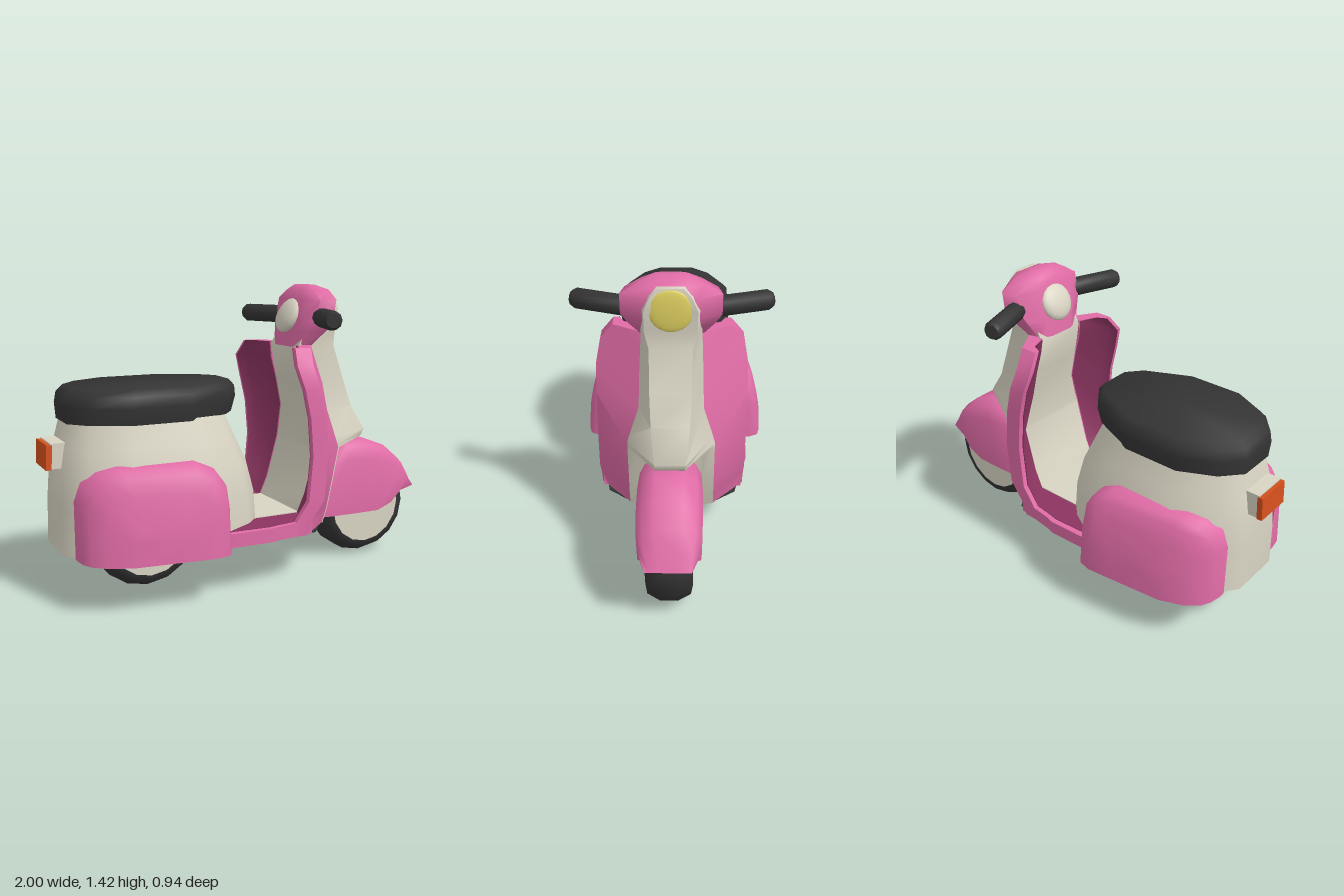
import * as THREE from 'three';
import { toCreasedNormals } from 'three/addons/utils/BufferGeometryUtils.js';

const paint = (name, color) => new THREE.MeshStandardMaterial({ name, color, side: THREE.DoubleSide });

// Skin a list of rings (arrays of [x, y, z]); closed lofts get end caps and outward winding.
function loft(rings, closed = true, crease = 1.1) {
  const n = rings[0].length, pos = rings.flat(2), idx = [];
  for (let r = 0; r < rings.length - 1; r++) {
    for (let i = 0; i < (closed ? n : n - 1); i++) {
      const a = r * n + i, b = r * n + (i + 1) % n;
      idx.push(a, b, b + n, a, b + n, a + n);
    }
  }
  if (closed) {
    [0, rings.length - 1].forEach((r) => {
      const c = pos.length / 3;
      for (let k = 0; k < 3; k++) pos.push(rings[r].reduce((s, p) => s + p[k], 0) / n);
      for (let i = 0; i < n; i++) {
        const a = r * n + i, b = r * n + (i + 1) % n;
        if (r === 0) idx.push(c, b, a); else idx.push(c, a, b);
      }
    });
  }
  const v = (i) => new THREE.Vector3().fromArray(pos, i * 3);
  let volume = 0;
  for (let i = 0; i < idx.length; i += 3) volume += v(idx[i]).dot(v(idx[i + 1]).cross(v(idx[i + 2])));
  if (volume < 0) idx.reverse();
  const g = new THREE.BufferGeometry();
  g.setAttribute('position', new THREE.Float32BufferAttribute(pos, 3));
  g.setIndex(idx);
  return toCreasedNormals(g, crease);
}

// Mirror a half outline of [x, z] across z = 0 into a ring at height y.
const mirrorRing = (y, half) => [
  ...half.map(([x, z]) => [x, y, z]),
  ...half.slice().reverse().map(([x, z]) => [x, y, -z]),
];

// Ring from [fraction of length, fraction of half width] pairs.
const planRing = (plan, [y, x0, x1, hw]) => mirrorRing(y, plan.map(([t, w]) => [x0 + t * (x1 - x0), w * hw]));

// Lathe from [radius, height] pairs.
const turned = (profile, sides) => new THREE.LatheGeometry(profile.map(([r, h]) => new THREE.Vector2(r, h)), sides);

export function createModel() {
  const pink = paint('pink', 0xe06ca6);
  const darkPink = paint('darkPink', 0x8c3560);
  const cream = paint('cream', 0xd9d4c3);
  const black = paint('black', 0x343434);
  const yellow = paint('yellow', 0xe2d362);
  const orange = paint('orange', 0xd6501c);
  const model = new THREE.Group();
  model.name = 'scooter';
  const add = (name, geo, mat, x = 0, y = 0, z = 0) => {
    const m = new THREE.Mesh(geo, mat);
    m.name = name;
    m.position.set(x, y, z);
    model.add(m);
    return m;
  };

  // Wheels
  const tyre = turned([[0.2, -0.105], [0.235, -0.097], [0.265, -0.04], [0.265, 0.04], [0.235, 0.097], [0.2, 0.105]], 16)
    .rotateX(Math.PI / 2);
  const hub = new THREE.CylinderGeometry(0.205, 0.205, 0.2, 16).rotateX(Math.PI / 2);
  [['rear', -0.52], ['front', 0.69]].forEach(([name, x]) => {
    add(name + 'Tyre', tyre, black, x, 0.267);
    add(name + 'Hub', hub, cream, x, 0.267);
  });

  // Rear body
  const bodyPlan = [[0, 0.36], [0.1, 0.7], [0.3, 1], [0.74, 1], [0.93, 0.72], [1, 0.54]];
  add('rearBody', loft([
    [0.236, -0.95, -0.01, 0.36], [0.45, -0.945, -0.025, 0.355], [0.6, -0.935, -0.06, 0.33],
    [0.72, -0.915, -0.11, 0.29], [0.84, -0.885, -0.16, 0.25],
  ].map((l) => planRing(bodyPlan, l))), cream);

  // Seat
  const seatPlan = [[0, 0.35], [0.1, 0.7], [0.3, 1], [0.64, 1], [0.92, 0.6], [1, 0.3]];
  add('seat', loft([
    [0.825, -0.9, -0.09, 0.265], [0.9, -0.905, -0.07, 0.28], [0.95, -0.895, -0.075, 0.278], [0.98, -0.865, -0.1, 0.25],
  ].map((l) => planRing(seatPlan, l))), black);

  // Tail light
  add('tailLightBracket', new THREE.BoxGeometry(0.11, 0.115, 0.18), cream, -0.92, 0.685);
  const lens = add('tailLightLens', new THREE.BoxGeometry(0.026, 0.112, 0.185), orange, -0.984, 0.68);
  lens.rotation.z = -0.06;

  // Bulging side panels, straight along the bottom edge
  const panelOutline = [[-0.91, 0.236], [-0.91, 0.5], [-0.88, 0.58], [-0.82, 0.63], [-0.74, 0.655],
    [-0.39, 0.655], [-0.31, 0.62], [-0.255, 0.55], [-0.24, 0.45], [-0.24, 0.236]];
  const bulge = [[-0.92, 0.25], [-0.9, 0.3], [-0.85, 0.37], [-0.7, 0.43], [-0.33, 0.47], [-0.27, 0.455], [-0.23, 0.4]];
  const bulgeAt = (x) => {
    const i = Math.max(1, bulge.findIndex(([bx]) => bx >= x));
    const [[xa, za], [xb, zb]] = [bulge[i - 1], bulge[i]];
    return za + (zb - za) * (x - xa) / (xb - xa);
  };
  const panelRing = (side, scale, inset) => panelOutline.map(([px, py]) => {
    const x = -0.575 + (px + 0.575) * scale, y = 0.236 + (py - 0.236) * scale;
    const z = inset === null ? 0.2 : bulgeAt(x) - inset - 0.075 * ((y - 0.236) / 0.42) ** 2;
    return [x, y, z * side];
  });
  const panelSteps = [[1, null], [1, 0.045], [0.97, 0.012], [0.9, 0], [0.72, 0], [0.4, 0]];

  // Leg shield wing levels: y, front x, rear x, inner x, inner z, outer z
  const wingLevels = [
    [0.236, 0.36, 0.1, 0.2, 0.2, 0.35], [0.31, 0.385, 0.13, 0.22, 0.2, 0.35], [0.4, 0.405, 0.195, 0.26, 0.2, 0.35],
    [0.62, 0.45, 0.215, 0.32, 0.2, 0.35], [0.8, 0.415, 0.2, 0.31, 0.145, 0.35], [0.94, 0.385, 0.168, 0.28, 0.142, 0.35],
    [1.05, 0.345, 0.135, 0.25, 0.14, 0.33], [1.13, 0.32, 0.155, 0.24, 0.135, 0.27],
  ];
  // Bevelled grip profile along its own length
  const gripShape = turned([[0, -0.145], [0.034, -0.145], [0.046, -0.125], [0.046, 0.125], [0.034, 0.145], [0, 0.145]], 10);
  const gripGeometry = toCreasedNormals(gripShape, 1);

  [['left', 1], ['right', -1]].forEach(([name, s]) => {
    add(name + 'SidePanel', loft(panelSteps.map(([k, d]) => panelRing(s, k, d))), pink);
    add(name + 'LegShield', loft(wingLevels.map(([y, xf, xr, xi, zi, zo]) => [
      [xf, zi], [xr + 0.085, zo], [xr, zo], [xr, zo - 0.025], [xr + 0.05, zo - 0.045], [xi, zi],
    ].map(([x, z]) => [x, y, z * s])), true, 0.8), pink);

    // Dark lining on the rider's side of the shield
    add(name + 'ShieldLining', loft(wingLevels.slice(1).map(([y, , xr, xi, zi, zo]) => [
      [xr, zo - 0.025], [xr + 0.05, zo - 0.045], [xi, zi],
    ].map(([x, z]) => [x - 0.005, y, z * s])), false), darkPink);

    // Handlebar grip
    const inner = new THREE.Vector3(0.35, 1.265, 0.17 * s), outer = new THREE.Vector3(0.255, 1.265, 0.44 * s);
    const grip = add(name + 'Grip', gripGeometry, black);
    grip.position.copy(inner).lerp(outer, 0.5);
    grip.quaternion.setFromUnitVectors(new THREE.Vector3(0, 1, 0), outer.sub(inner).normalize());
  });

  // Floor, its dark lining, centre mat and underside
  const slab = (name, y0, y1, half, mat) => add(name, loft([y0, y1].map((y) => mirrorRing(y, half))), mat);
  slab('floor', 0.238, 0.304, [[-0.3, 0.37], [-0.02, 0.378], [0.03, 0.365], [0.14, 0.35], [0.22, 0.34]], pink);
  slab('floorLining', 0.302, 0.307, [[-0.22, 0.34], [-0.02, 0.35], [0.03, 0.34], [0.14, 0.325], [0.22, 0.3]], darkPink);
  slab('floorMat', 0.303, 0.311, [[-0.12, 0.2], [0.23, 0.2]], cream);
  slab('underside', 0.231, 0.237, [[-0.93, 0.12], [-0.84, 0.25], [-0.66, 0.34], [0.14, 0.335], [0.26, 0.31], [0.355, 0.19]], black);

  // Steering column with pointed horn cover: y, rear x, side x, side z, tip x, tip z
  add('steeringColumn', loft([
    [0.236, 0.2, 0.365, 0.2, 0.378, 0.14], [0.31, 0.22, 0.39, 0.2, 0.398, 0.14], [0.4, 0.26, 0.41, 0.2, 0.42, 0.14],
    [0.615, 0.32, 0.455, 0.2, 0.47, 0.14], [0.635, 0.32, 0.45, 0.2, 0.675, 0.065], [0.67, 0.32, 0.445, 0.19, 0.69, 0.068],
    [0.8, 0.31, 0.415, 0.147, 0.595, 0.085], [0.94, 0.28, 0.388, 0.144, 0.54, 0.092], [1.12, 0.245, 0.33, 0.137, 0.475, 0.095],
    [1.2, 0.29, 0.4, 0.135, 0.47, 0.115], [1.3, 0.32, 0.43, 0.135, 0.485, 0.115], [1.36, 0.33, 0.43, 0.11, 0.482, 0.09],
    [1.398, 0.35, 0.42, 0.07, 0.472, 0.055],
  ].map(([y, xr, xs, zs, xt, zt]) => mirrorRing(y, [[xr, zs], [xs, zs], [xt, zt]]))), cream);

  // Handlebar housing
  const headPlan = [[0, 0.45], [0.2, 0.92], [0.65, 1], [1, 0.52]];
  add('handlebarHousing', loft([
    [1.12, 0.235, 0.35, 0.14], [1.2, 0.25, 0.44, 0.19], [1.25, 0.265, 0.462, 0.22],
    [1.35, 0.29, 0.472, 0.22], [1.395, 0.305, 0.455, 0.14], [1.42, 0.33, 0.39, 0.075],
  ].map((l) => planRing(headPlan, l))), pink);

  // Headlamp and domed rear dial
  add('headlamp', new THREE.SphereGeometry(0.095, 20, 12).scale(0.14, 1, 1), yellow, 0.479, 1.3);
  const dial = add('dial', new THREE.SphereGeometry(0.092, 16, 10).scale(1, 0.42, 1), cream, 0.268, 1.27);
  dial.rotation.z = 1.13;

  // Front mudguard, open underneath: bottom x, bottom y, top x, top y, half width
  add('frontMudguard', loft([
    [0.38, 0.238, 0.5, 0.58, 0.13], [0.46, 0.238, 0.57, 0.622, 0.14], [0.6, 0.238, 0.69, 0.62, 0.145],
    [0.74, 0.238, 0.82, 0.57, 0.145], [0.83, 0.27, 0.91, 0.495, 0.14], [0.9, 0.325, 0.96, 0.41, 0.125],
    [0.99, 0.335, 1, 0.342, 0.1],
  ].map(([xb, yb, xt, yt, hw]) => {
    const arch = [[0, 1], [0.75, 1], [0.92, 0.82], [1, 0.45]]
      .map(([t, w]) => [xb + (xt - xb) * t, yb + (yt - yb) * t, hw * w]);
    return [...arch, ...arch.slice().reverse().map(([x, y, z]) => [x, y, -z])];
  }), false), pink);

  return model;
}
